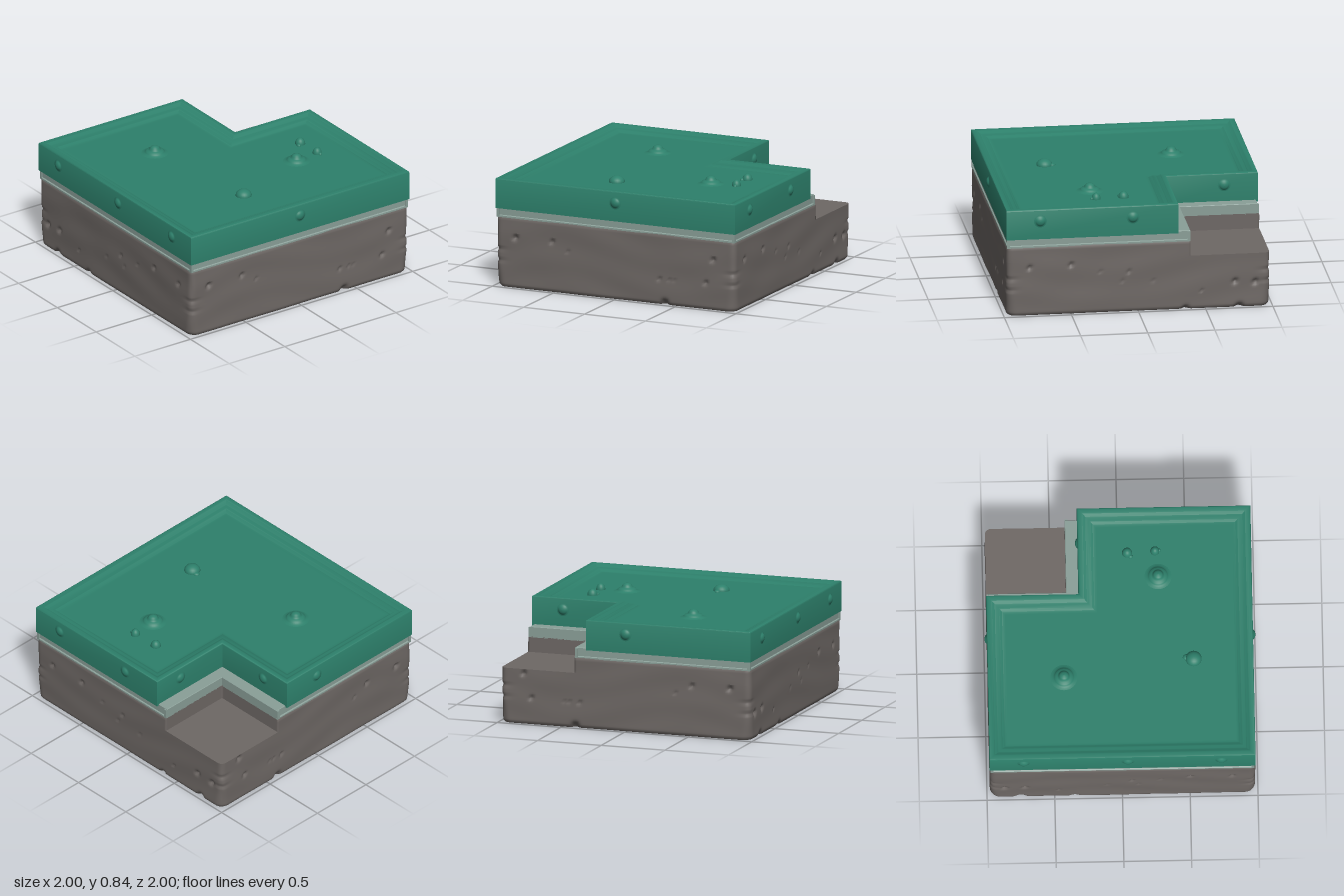
import * as THREE from 'three';
import { toCreasedNormals } from 'three/addons/utils/BufferGeometryUtils.js';

const O = 0.982, STEP = 0.414, FLOOR = 0.777;

// Square or L-shaped outline, counterclockwise from above; d insets it
const square = o => [[-o, o], [o, o], [o, -o], [-o, -o]];
const ell = (o, nx, nz, d = 0) => [
  [-o + d, o - d], [o - d, o - d], [o - d, nz + d],
  [nx - d, nz + d], [nx - d, -o + d], [-o + d, -o + d],
];

// Split the edges of an outline into short steps
function subdivide(pts, step) {
  const out = [];
  pts.forEach((a, i) => {
    const b = pts[(i + 1) % pts.length];
    const n = Math.max(1, Math.round(Math.hypot(b[0] - a[0], b[1] - a[1]) / step));
    for (let k = 0; k < n; k++) out.push([a[0] + (b[0] - a[0]) * k / n, a[1] + (b[1] - a[1]) * k / n]);
  });
  return out;
}

// Join stacked rings of [x, y, z] points and cap both ends
function loft(rings) {
  const pos = [], idx = [], n = rings[0].length;
  rings.forEach(r => r.forEach(p => pos.push(...p)));
  for (let j = 0; j < rings.length - 1; j++) {
    for (let i = 0; i < n; i++) {
      const a = j * n + i, b = j * n + (i + 1) % n;
      idx.push(a, b, b + n, a, b + n, a + n);
    }
  }
  [rings[0], rings[rings.length - 1]].forEach((ring, top) => {
    const base = pos.length / 3;
    ring.forEach(p => pos.push(...p));
    const flat = ring.map(p => new THREE.Vector2(p[0], -p[2]));
    THREE.ShapeUtils.triangulateShape(flat, []).forEach(([a, b, c]) =>
      idx.push(base + a, base + (top ? b : c), base + (top ? c : b)));
  });
  const g = new THREE.BufferGeometry();
  g.setAttribute('position', new THREE.Float32BufferAttribute(pos, 3));
  g.setIndex(idx);
  g.computeVertexNormals();
  return g;
}

// Pits in the stone: position along the side, height, radius
const frontPits = [[-0.82, 0.38, 0.024], [-0.52, 0.38, 0.02], [-0.39, 0.32, 0.013], [0.36, 0.19, 0.016],
  [0.44, 0.19, 0.012], [0.48, 0.19, 0.012], [0.74, 0.2, 0.02], [0.8, 0.38, 0.022], [0.4, 0.01, 0.035]];
const sidePits = [[0.81, 0.37, 0.02], [0.5, 0.38, 0.02], [0.28, 0.32, 0.012], [0.07, 0.31, 0.015],
  [0.12, 0.24, 0.012], [-0.11, 0.23, 0.012], [-0.47, 0.14, 0.012], [-0.72, 0.2, 0.024],
  [-0.87, 0.19, 0.025], [-0.35, 0, 0.03], [-0.75, 0, 0.035]];

// How far the stone is worn inward at a point on its side
function wear(x, y, z) {
  const onZ = Math.abs(z) > Math.abs(x), u = onZ ? x : z;
  let d = 0.003 + 0.0014 * Math.sin(27 * y + 2.2 * Math.sin(2.6 * u + x)) + 0.001 * Math.sin(9 * u + 15 * y);
  for (const [pu, py, r] of onZ ? frontPits : sidePits) {
    const q = ((u - pu) ** 2 + (y - py) ** 2) / (r * r);
    if (q < 6) d += 1.2 * r * Math.exp(-1.8 * q);
  }
  // cracks biting into the upright edges
  const edge = Math.exp(-(((O - Math.abs(u)) / 0.07) ** 2));
  for (const cy of [0.2, 0.285]) d += 0.012 * edge * Math.exp(-(((y - cy) / 0.012) ** 2));
  // rounded bottom and top
  return d + 0.014 * Math.max(0, 1 - y / 0.022) ** 2 + 0.006 * Math.max(0, (y - 0.515) / 0.015) ** 2;
}

function stone(outline, y0, y1) {
  const pts = subdivide(outline, 0.0155), levels = Math.ceil((y1 - y0) / 0.014);
  const rings = [];
  for (let j = 0; j <= levels; j++) {
    const y = y0 + (y1 - y0) * j / levels;
    const r = 0.045 + 0.035 * Math.max(0, 1 - y / 0.2);
    rings.push(pts.map(([x, z]) => {
      const qx = THREE.MathUtils.clamp(x, -O + r, O - r), qz = THREE.MathUtils.clamp(z, -O + r, O - r);
      const len = Math.hypot(x - qx, z - qz);
      if (len < 1e-5) return [x, y, z];
      // points near the cut edges of the step only slide as far as they reach
      const k = (Math.min(len, r) - wear(x, y, z) * Math.min(1, len / r)) / len;
      return [qx + (x - qx) * k, y, qz + (z - qz) * k];
    }));
  }
  return loft(rings);
}

export function createModel() {
  const group = new THREE.Group();
  const mat = (name, color) => new THREE.MeshStandardMaterial({ name, color });
  const stoneMat = mat('warm grey stone', 0x6e6865);
  const greenMat = mat('green metal', 0x2d806b);
  const trimMat = mat('pale grey trim', 0x8a9f98);
  const add = (name, geo, material, x = 0, y = 0, z = 0) => {
    const m = new THREE.Mesh(geo, material);
    m.name = name;
    m.position.set(x, y, z);
    group.add(m);
    return m;
  };
  const ellRings = (o, nx, nz, steps) => loft(steps.map(([d, y]) => ell(o, nx, nz, d).map(([x, z]) => [x, y, z])));
  const lathe = (profile, sides) => new THREE.LatheGeometry(profile.map(p => new THREE.Vector2(...p)), sides);

  // Worn stone base with a lower step in the back corner
  add('stoneBase', stone(square(O), 0, STEP), stoneMat);
  add('stoneUpper', stone(ell(O, 0.4, -0.39), STEP, 0.53), stoneMat);

  // Trim band, its lower lip and the small posts closing its outer corners
  add('trimBand', toCreasedNormals(ellRings(0.966, 0.4, -0.39, [[0, 0.525], [0, 0.602], [0.004, 0.606]]), 0.5), trimMat);
  add('trimLip', toCreasedNormals(ellRings(0.975, 0.4, -0.39, [[0, 0.525], [0, 0.537], [0.009, 0.542]]), 0.5), trimMat);
  const post = new THREE.BoxGeometry(0.022, 0.075, 0.022);
  for (const [x, z] of [[-0.965, 0.965], [0.965, 0.965], [-0.965, -0.965], [0.965, -0.378], [0.388, -0.965]]) {
    add('trimPost', post, trimMat, x, 0.5625, z);
  }

  // Green cover with a softly stepped rim around a sunken floor
  const cover = [[0, 0.592], [0, 0.595], [0, 0.811], [0.002, 0.817], [0.007, 0.82], [0.012, 0.821], [0.034, 0.821],
    [0.042, 0.818], [0.062, 0.802], [0.07, 0.799], [0.09, 0.797], [0.098, 0.794], [0.115, 0.78], [0.124, FLOOR], [0.14, FLOOR]];
  add('cover', toCreasedNormals(ellRings(O, 0.31, -0.3, cover), 0.8), greenMat);

  // Large studs on flared washers
  const stud = lathe([[0.105, 0], [0.09, 0.003], [0.078, 0.008], [0.07, 0.014], [0.064, 0.023], [0.05, 0.028],
    [0.04, 0.032], [0.037, 0.043], [0.028, 0.053], [0.015, 0.059], [0, 0.061]], 32);
  for (const [x, z] of [[-0.33, -0.42], [0.45, 0.29]]) add('topStud', stud, greenMat, x, FLOOR - 0.001, z);

  // Blisters on the floor, each with a smaller bump beside it
  const ball = new THREE.SphereGeometry(1, 24, 14);
  for (const [x, z, r, bx, bz] of [[-0.2, 0.54, 0.06, 0.012, -0.05], [0.64, 0.065, 0.038, -0.03, 0.025], [0.65, 0.27, 0.034, 0.005, 0.03]]) {
    add('blister', ball, greenMat, x, FLOOR, z).scale.set(r, 0.047, r);
    add('blisterBump', ball, greenMat, x + bx, FLOOR, z + bz).scale.set(r * 0.4, 0.016, r * 0.5);
  }

  // Rivets swelling softly from the sides of the cover: x, z, turn about y
  const rivet = lathe([[0.048, 0], [0.04, 0.001], [0.035, 0.004], [0.03, 0.009], [0.022, 0.014], [0.011, 0.017], [0, 0.018]], 24);
  rivet.rotateX(Math.PI / 2);
  const q = Math.PI / 2;
  const rivets = [[0, O, 0], [0, -O, 2], [0.74, -0.3, 2], [-O, -0.73, 3], [-O, 0.04, 3], [-O, 0.73, 3],
    [O, 0.04, 1], [O, 0.73, 1], [0.31, -0.73, 1]];
  for (const [x, z, turn] of rivets) add('sideRivet', rivet, greenMat, x, 0.73, z).rotation.y = turn * q;
  return group;
}
